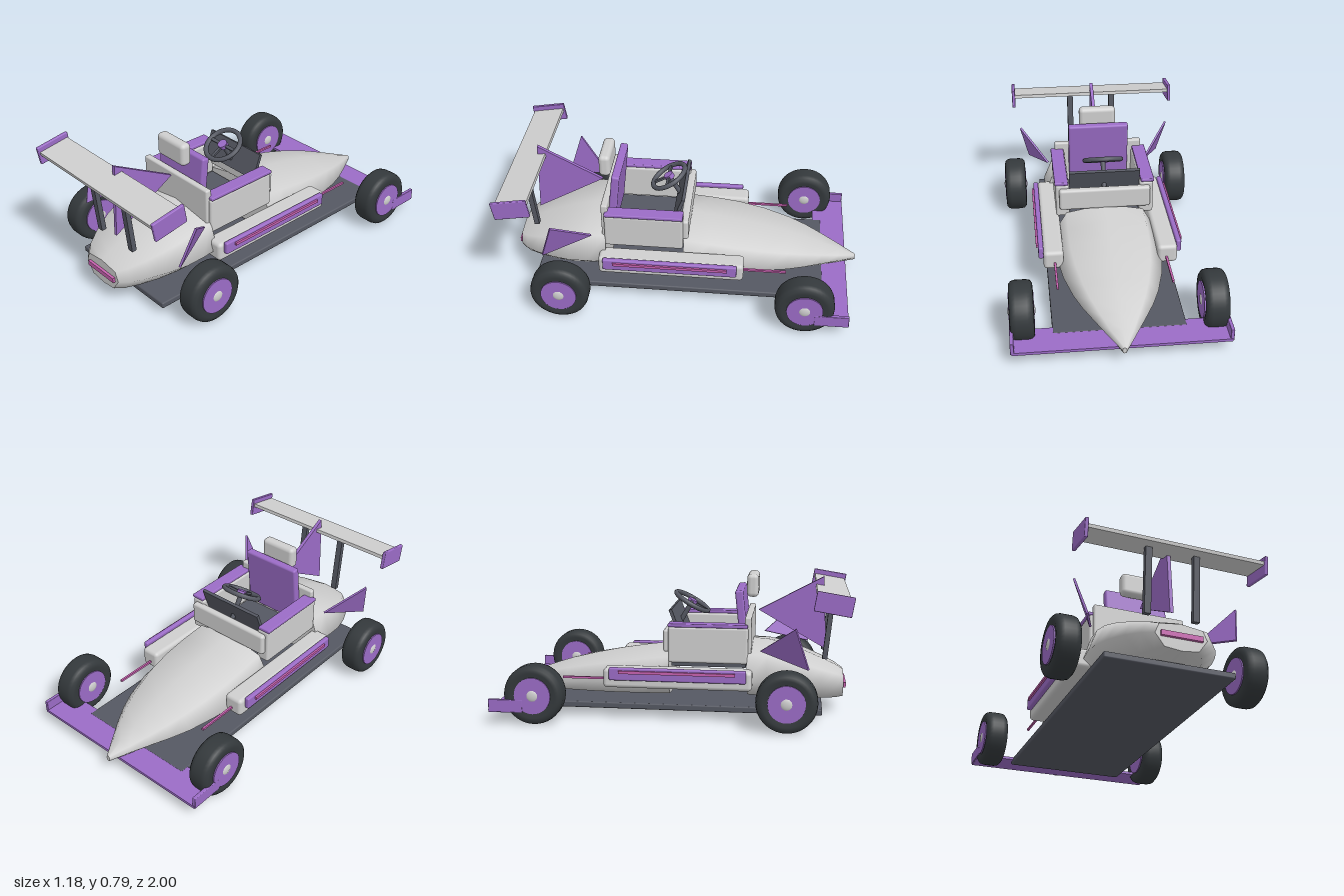
import * as THREE from 'three';
import { RoundedBoxGeometry } from 'three/addons/geometries/RoundedBoxGeometry.js';

const mat = (name, color, extra = {}) => {
  const m = new THREE.MeshStandardMaterial({ color, ...extra });
  m.name = name;
  return m;
};

export function createModel() {
  const root = new THREE.Group();
  root.name = 'openWheelRacer';
  const white = mat('bodyWhite', 0xcfcfcf);
  const purple = mat('trimPurple', 0x9b6cc6);
  const dark = mat('frameGrey', 0x555862);
  const black = mat('tyreBlack', 0x34393c);
  const pink = mat('accentPink', 0xc862b0);

  const add = (name, geo, material, pos = [0, 0, 0], rot = [0, 0, 0], parent = root) => {
    const mesh = new THREE.Mesh(geo, material);
    mesh.name = name;
    mesh.position.set(...pos);
    mesh.rotation.set(...rot);
    parent.add(mesh);
    return mesh;
  };
  // box from its min and max on each axis; r rounds the edges
  const box = (name, material, [x0, x1], [y0, y1], [z0, z1], r = 0) => {
    const s = [x1 - x0, y1 - y0, z1 - z0];
    const geo = r ? new RoundedBoxGeometry(...s, 3, r) : new THREE.BoxGeometry(...s);
    return add(name, geo, material, [(x0 + x1) / 2, (y0 + y1) / 2, (z0 + z1) / 2]);
  };
  // the same box on both sides of the car
  const pair = (name, material, [x0, x1], y, z, r) => {
    box(name + 'Left', material, [x0, x1], y, z, r);
    box(name + 'Right', material, [-x1, -x0], y, z, r);
  };

  // body shell: stations of [z, half width, bottom, widest height, top]
  const shell = (name, stations, sx, sy) => {
    const section = [[1, 0], [sx, sy], [0, 1], [-sx, sy], [-1, 0], [-0.66, -0.86], [0, -1], [0.66, -0.86]];
    const n = section.length, pos = [], idx = [];
    const ring = ([z, w, b, m, t]) => section.forEach(([x, y]) => pos.push(x * w, m + y * (y > 0 ? t - m : m - b), z));
    stations.forEach(ring);
    for (let i = 0; i < stations.length - 1; i++) {
      for (let j = 0; j < n; j++) {
        const a = i * n + j, b = i * n + (j + 1) % n;
        idx.push(a, b, a + n, b, b + n, a + n);
      }
    }
    // flat end caps
    [stations[0], stations[stations.length - 1]].forEach((s, end) => {
      const o = pos.length / 3;
      ring(s);
      for (let j = 1; j < n - 1; j++) idx.push(o, ...(end ? [o + j, o + j + 1] : [o + j + 1, o + j]));
    });
    const geo = new THREE.BufferGeometry();
    geo.setAttribute('position', new THREE.Float32BufferAttribute(pos, 3));
    geo.setIndex(idx);
    geo.computeVertexNormals();
    add(name, geo, white);
  };
  shell('noseCone', [
    [-1, 0.012, 0.082, 0.1, 0.118], [-0.9, 0.075, 0.085, 0.12, 0.155], [-0.8, 0.135, 0.088, 0.14, 0.192],
    [-0.7, 0.19, 0.09, 0.155, 0.228], [-0.6, 0.232, 0.09, 0.165, 0.26], [-0.45, 0.275, 0.09, 0.18, 0.297],
    [-0.3, 0.297, 0.09, 0.19, 0.328], [-0.15, 0.3, 0.09, 0.2, 0.352], [0, 0.295, 0.09, 0.21, 0.372],
  ], 0.76, 0.72);
  shell('engineCover', [
    [0.44, 0.325, 0.105, 0.22, 0.408], [0.55, 0.333, 0.1, 0.22, 0.4], [0.65, 0.328, 0.095, 0.215, 0.375],
    [0.75, 0.298, 0.09, 0.205, 0.34], [0.85, 0.25, 0.087, 0.19, 0.298], [0.93, 0.195, 0.086, 0.175, 0.262],
    [0.975, 0.14, 0.088, 0.165, 0.235],
  ], 0.84, 0.77);

  // floor and side pods
  box('floorPan', dark, [-0.357, 0.357], [0.05, 0.085], [-0.805, 0.855], 0.008);
  pair('sidePod', white, [0.265, 0.378], [0.173, 0.283], [-0.35, 0.473], 0.022);
  pair('podPanel', purple, [0.376, 0.405], [0.222, 0.293], [-0.312, 0.443], 0.009);
  pair('podStripe', pink, [0.4, 0.416], [0.263, 0.279], [-0.257, 0.385]);
  pair('noseRod', pink, [0.309, 0.321], [0.207, 0.219], [-0.59, -0.34]);

  // cockpit tub
  pair('cockpitSide', white, [0.205, 0.285], [0.305, 0.508], [0, 0.445], 0.014);
  pair('cockpitRail', purple, [0.212, 0.29], [0.506, 0.526], [0, 0.442], 0.006);
  box('cockpitFront', white, [-0.265, 0.265], [0.36, 0.488], [-0.03, 0.015], 0.015);
  box('cockpitBack', white, [-0.265, 0.265], [0.3, 0.566], [0.425, 0.462], 0.01);
  box('seatBase', dark, [-0.205, 0.205], [0.27, 0.31], [0.01, 0.43]);
  add('dashboard', new THREE.BoxGeometry(0.41, 0.15, 0.018), dark, [0, 0.52, 0.03], [-0.36, 0, 0]);
  add('seatBack', new RoundedBoxGeometry(0.36, 0.37, 0.046, 3, 0.012), purple, [0, 0.518, 0.405], [-0.11, 0, 0]);
  box('headrest', white, [-0.11, 0.11], [0.655, 0.785], [0.425, 0.49], 0.024);

  // steering wheel, lying in a tilted plane
  const steering = new THREE.Group();
  steering.name = 'steeringWheel';
  steering.position.set(0, 0.61, 0.105);
  steering.rotation.x = -Math.PI / 3;
  root.add(steering);
  add('steeringRim', new THREE.TorusGeometry(0.105, 0.014, 10, 36), dark, [0, 0, 0], [0, 0, 0], steering);
  for (const a of [0, Math.PI, -Math.PI / 2]) {
    add('steeringSpoke', new THREE.BoxGeometry(0.1, 0.018, 0.012), dark,
      [Math.cos(a) * 0.05, Math.sin(a) * 0.05, 0], [0, 0, a], steering);
  }
  add('steeringHub', new THREE.CylinderGeometry(0.028, 0.028, 0.026, 20), purple, [0, 0, 0], [Math.PI / 2, 0, 0], steering);
  add('steeringColumn', new THREE.CylinderGeometry(0.014, 0.014, 0.16, 12), dark, [0, 0, -0.085], [Math.PI / 2, 0, 0], steering);

  // wheels: rounded tyre, coloured disc and domed hub on both faces
  const tyreGeo = new THREE.LatheGeometry([
    [0.09, -0.058], [0.125, -0.065], [0.145, -0.062], [0.159, -0.05], [0.164, -0.03],
    [0.164, 0.03], [0.159, 0.05], [0.145, 0.062], [0.125, 0.065], [0.09, 0.058],
  ].map(p => new THREE.Vector2(...p)), 40);
  const discGeo = new THREE.CylinderGeometry(0.1, 0.1, 0.134, 32);
  const hubGeo = new THREE.SphereGeometry(0.035, 16, 12);
  for (const s of [1, -1]) {
    for (const [end, z] of [['front', -0.697], ['rear', 0.665]]) {
      const wheel = new THREE.Group();
      wheel.name = end + 'Wheel' + (s > 0 ? 'Left' : 'Right');
      wheel.position.set(s * 0.514, 0.164, z);
      wheel.rotation.z = -s * Math.PI / 2;
      root.add(wheel);
      add('tyre', tyreGeo, black, [0, 0, 0], [0, 0, 0], wheel);
      add('wheelDisc', discGeo, purple, [0, 0, 0], [0, 0, 0], wheel);
      for (const y of [0.06, -0.06]) {
        add('hub', hubGeo, white, [0, y, 0], [0, 0, 0], wheel).scale.y = 0.4;
      }
    }
  }

  // front wing
  box('frontWing', purple, [-0.575, 0.575], [0.067, 0.083], [-0.945, -0.755]);
  pair('frontEndPlate', purple, [0.562, 0.582], [0.07, 0.14], [-0.943, -0.753], 0.004);

  // rear wing, tilted down toward the tail
  const wing = new THREE.Group();
  wing.name = 'rearWing';
  wing.position.set(0, 0.685, 0.898);
  wing.rotation.x = 0.165;
  root.add(wing);
  add('wingPlank', new THREE.BoxGeometry(0.99, 0.02, 0.18), white, [0, 0.014, 0], [0, 0, 0], wing);
  for (const s of [1, -1]) {
    add('wingEndPlate', new RoundedBoxGeometry(0.02, 0.106, 0.198, 2, 0.005), purple, [s * 0.5, 0, 0], [0, 0, 0], wing);
    add('wingStrut', new THREE.BoxGeometry(0.036, 0.37, 0.028), dark, [s * 0.135, 0.505, 0.885], [0.1, 0, 0]);
  }

  // triangular fins, thickened along their own normal
  const fin = (name, corners, thick) => {
    const p = corners.map(c => new THREE.Vector3(...c));
    const n = p[1].clone().sub(p[0]).cross(p[2].clone().sub(p[0])).normalize().multiplyScalar(thick / 2);
    const a = p.map(v => v.clone().add(n)), b = p.map(v => v.clone().sub(n));
    const tris = [a[0], a[1], a[2], b[0], b[2], b[1]];
    for (let i = 0; i < 3; i++) {
      const j = (i + 1) % 3;
      tris.push(b[i], b[j], a[j], b[i], a[j], a[i]);
    }
    const geo = new THREE.BufferGeometry().setFromPoints(tris);
    geo.computeVertexNormals();
    add(name, geo, purple);
  };
  fin('centreFin', [[0, 0.768, 0.856], [0, 0.57, 0.49], [0, 0.35, 0.875]], 0.02);
  for (const s of [1, -1]) {
    fin('sideFin' + (s > 0 ? 'Left' : 'Right'),
      [[s * 0.305, 0.39, 0.515], [s * 0.465, 0.545, 0.705], [s * 0.415, 0.315, 0.778]], 0.012);
  }

  // tail light
  box('tailLight', pink, [-0.112, 0.112], [0.152, 0.18], [0.955, 0.99]);
  return root;
}
